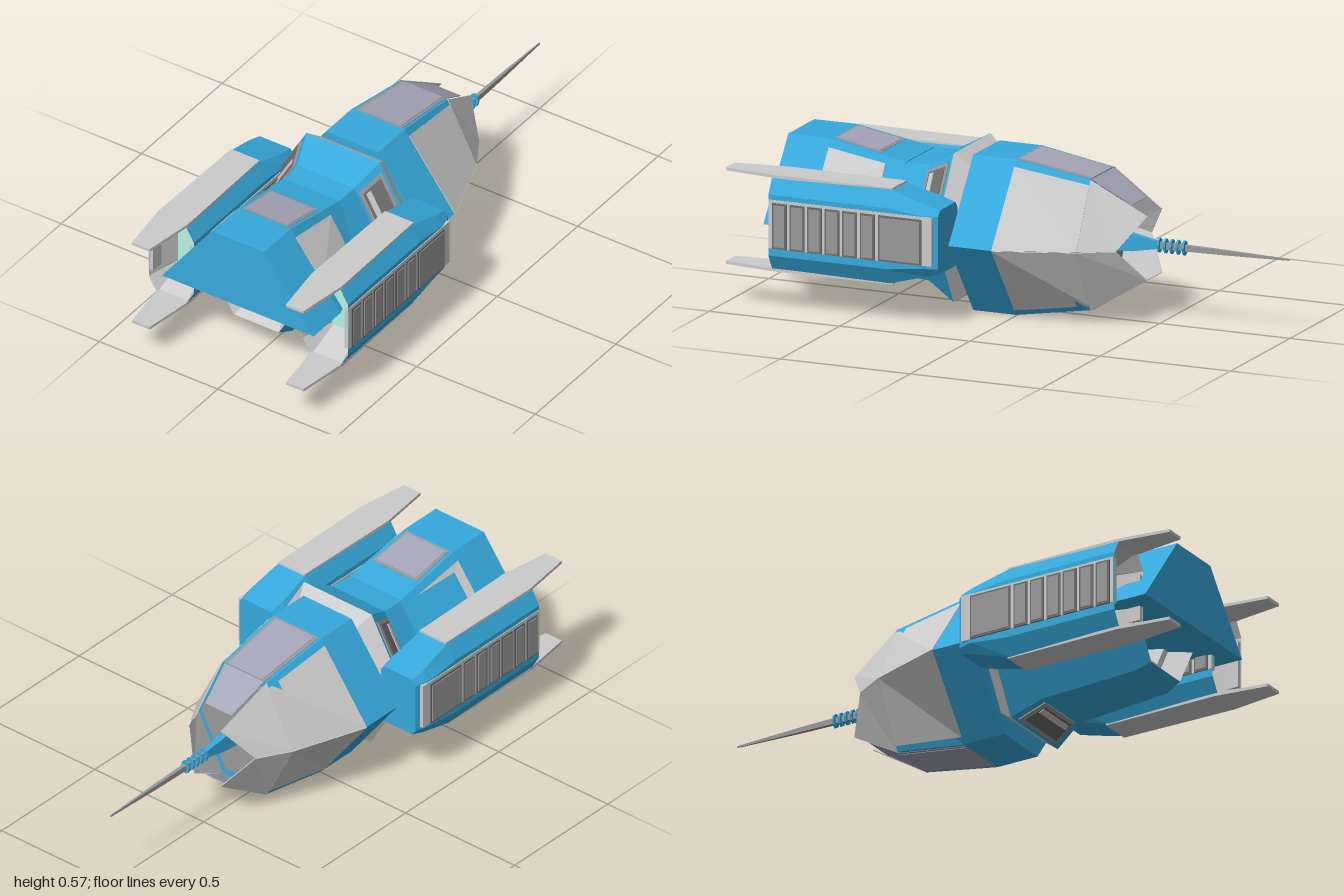
import * as THREE from 'three';

const paint = (color, side = THREE.FrontSide) =>
  new THREE.MeshStandardMaterial({ color, flatShading: true, side });
const BLUE = paint(0x36a9dc), GREY = paint(0xcccccc), MID = paint(0x999999), DARK = paint(0x6e6e6e);
const GLASS = paint(0xa5a5b8), MINT = paint(0xb5f5e5);
const SHELL = paint(0xcccccc, THREE.DoubleSide), PANE = paint(0xa5a5b8, THREE.DoubleSide);

// Skin a series of rings (counter-clockwise seen from the end the series runs towards)
function loft(name, rings, mat, capStart = true, capEnd = true) {
  const p = [], n = rings[0].length;
  const tri = (a, b, c) => p.push(...a, ...b, ...c);
  for (let r = 0; r + 1 < rings.length; r++) {
    const A = rings[r], B = rings[r + 1];
    for (let i = 0; i < n; i++) {
      const j = (i + 1) % n;
      tri(A[i], A[j], B[j]);
      tri(A[i], B[j], B[i]);
    }
  }
  const F = rings[0], L = rings[rings.length - 1];
  for (let i = 1; i + 1 < n; i++) {
    if (capStart) tri(F[0], F[i + 1], F[i]);
    if (capEnd) tri(L[0], L[i], L[i + 1]);
  }
  const g = new THREE.BufferGeometry();
  g.setAttribute('position', new THREE.Float32BufferAttribute(p, 3));
  g.computeVertexNormals();
  const m = new THREE.Mesh(g, mat);
  m.name = name;
  return m;
}

// Thin slab standing on a polygon, raised along its normal
function plate(name, pts, lift, mat) {
  const nrm = new THREE.Vector3();
  pts.forEach((a, i) => {
    const b = pts[(i + 1) % pts.length];
    nrm.add(new THREE.Vector3(...a).cross(new THREE.Vector3(...b)));
  });
  nrm.normalize().multiplyScalar(lift);
  return loft(name, [pts, pts.map(([x, y, z]) => [x + nrm.x, y + nrm.y, z + nrm.z])], mat);
}

// Mirror a polygon in x and y, keeping its winding
function mirror(pts, sx, sy) {
  const q = pts.map(([x, y, z]) => [x * sx, y * sy, z]);
  return sx * sy < 0 ? q.reverse() : q;
}

// Sub-rectangle of the quad a b c d
function inset([a, b, c, d], u0, u1, v0, v1) {
  const mix = (p, q, t) => p.map((v, i) => v + (q[i] - v) * t);
  const at = (u, v) => mix(mix(a, b, u), mix(d, c, u), v);
  return [at(u0, v0), at(u1, v0), at(u1, v1), at(u0, v1)];
}

const hexRing = (w, t, h, y, z) =>
  [[w, y, z], [t, y + h, z], [-t, y + h, z], [-w, y, z], [-t, y - h, z], [t, y - h, z]];
const hex = (R, z) => hexRing(R, R / 2, R * 0.866, 0.306, z);
const oct = (w, h, cx, cy, z) => [[w, -h + cy, z], [w, h - cy, z], [w - cx, h, z], [-w + cx, h, z],
  [-w, h - cy, z], [-w, -h + cy, z], [-w + cx, -h, z], [w - cx, -h, z]];
const rect = (w, h, z) => [[w, -h, z], [w, h, z], [-w, h, z], [-w, -h, z]];

function box(name, w, h, d, x, y, z, mat) {
  const m = new THREE.Mesh(new THREE.BoxGeometry(w, h, d), mat);
  m.position.set(x, y, z);
  m.name = name;
  return m;
}

// Pointed hexagonal cabin with windows, four nose jaws and a lance
function cabin() {
  const g = new THREE.Group();
  g.name = 'cabin';
  g.position.y = 0.285;
  g.add(loft('cabinHull', [hexRing(0.22, 0.1, 0.235, 0, -0.28), hexRing(0.32, 0.11, 0.28, 0, 0),
    hexRing(0.32, 0.11, 0.28, 0, 0.165)], BLUE));
  g.add(loft('noseBulkhead', [hexRing(0.19, 0.08, 0.2, 0, -0.29), hexRing(0.2, 0.09, 0.21, 0, -0.279)], MID));
  for (const sy of [1, -1]) {
    const top = [[-0.1, 0.28, 0], [0.1, 0.28, 0], [0.09, 0.235, -0.28], [-0.09, 0.235, -0.28]];
    g.add(plate('windowFrame', mirror(top, 1, sy), 0.002, MID));
    g.add(plate('window', mirror(inset(top, 0.06, 0.94, 0.03, 1), 1, sy), 0.004, GLASS));
    g.add(plate('noseWindow', mirror([[-0.09, 0.233, -0.28], [0.09, 0.233, -0.28],
      [0.06, 0.148, -0.42], [-0.06, 0.148, -0.42]], 1, sy), 0.003, PANE));
    for (const sx of [1, -1]) {
      const side = [[0.11, 0.28, 0], [0.32, 0, 0], [0.22, 0, -0.28], [0.1, 0.235, -0.28]];
      g.add(plate('sideArmour', mirror(inset(side, 0.08, 1, 0, 1), sx, sy), 0.003, GREY));
      g.add(plate('noseJaw', mirror([[0.1, 0.235, -0.28], [0.22, 0, -0.28],
        [0.15, 0, -0.4], [0.06, 0.115, -0.48]], sx, sy), 0.003, SHELL));
    }
  }
  // lance and its cooling rings
  g.add(loft('lanceRoot', [rect(0.008, 0.012, -0.5), rect(0.014, 0.03, -0.4), rect(0.02, 0.035, -0.28)], BLUE));
  g.add(loft('lance', [rect(0.002, 0.003, -1), rect(0.006, 0.009, -0.75), rect(0.008, 0.013, -0.48)], MID));
  for (let i = 0; i < 5; i++) {
    const ring = new THREE.Mesh(new THREE.CylinderGeometry(0.027, 0.027, 0.008, 8), BLUE);
    ring.rotation.x = Math.PI / 2;
    ring.scale.x = 0.68;
    ring.position.z = -0.5 - i * 0.024;
    ring.name = 'lanceRing';
    g.add(ring);
  }
  return g;
}

// Hexagonal engine body with collar, vents, nozzle and rear cowl
function body() {
  const g = new THREE.Group();
  g.name = 'engineBody';
  const wide = hex(0.31, 0.22), waist = hex(0.242, 0.33), rear = hex(0.19, 0.76);
  g.add(loft('collar', [hex(0.26, 0.16), wide], GREY, true, false));
  g.add(loft('bodyHull', [wide, waist, hex(0.218, 0.7), rear], BLUE, false, false));
  g.add(loft('nozzle', [rear, hex(0.14, 0.69), hex(0.112, 0.69), hex(0.082, 0.63)], GREY, false, false));
  g.add(loft('nozzleGlow', [hex(0.084, 0.62), hex(0.084, 0.635)], MINT));
  for (const k of [0, 2, 4]) {
    const j = (k + 1) % 6, face = [wide[k], wide[j], waist[j], waist[k]];
    g.add(plate('ventFrame', inset(face, 0.1, 0.9, 0.1, 0.95), 0.005, MID));
    g.add(plate('vent', inset(face, 0.15, 0.85, 0.2, 0.85), 0.008, DARK));
    g.add(plate('ventLip', inset(face, 0.18, 0.82, 0.62, 0.78), 0.011, GREY));
  }
  // cowl roofing over the nozzle
  const trap = (w, t, h, z) => [[w, 0.287, z], [t, h, z], [-t, h, z], [-w, 0.287, z]];
  const a = trap(0.24, 0.118, 0.513, 0.42), b = trap(0.32, 0.11, 0.565, 0.71);
  g.add(loft('rearCowl', [a, b, trap(0.32, 0.11, 0.565, 0.875)], BLUE));
  const roof = [b[2], b[1], a[1], a[2]];
  g.add(plate('roofPanelFrame', inset(roof, 0.06, 0.94, 0.02, 0.64), 0.002, MID));
  g.add(plate('roofPanel', inset(roof, 0.1, 0.9, 0.05, 0.61), 0.004, GLASS));
  for (const sx of [1, -1])
    g.add(plate('cowlSidePanel', mirror(inset([b[0], a[0], a[1], b[1]], 0, 0.75, 0.35, 0.9), sx, 1), 0.003, GREY));
  return g;
}

// Side engine pod with louvres and long tail fins
function pod(x) {
  const g = new THREE.Group();
  g.name = x > 0 ? 'leftPod' : 'rightPod';
  g.position.set(x, 0.315, 0);
  const end = oct(0.095, 0.17, 0.035, 0.06, 0.81);
  g.add(loft('podHull', [oct(0.08, 0.115, 0.015, 0.02, 0.165), oct(0.095, 0.13, 0.025, 0.035, 0.22),
    oct(0.095, 0.17, 0.035, 0.06, 0.36), end], BLUE, true, false));
  g.add(loft('podNozzle', [end, oct(0.055, 0.108, 0.004, 0.004, 0.68)], GREY, false, false));
  g.add(loft('podGlow', [oct(0.057, 0.11, 0.004, 0.004, 0.67), oct(0.057, 0.11, 0.004, 0.004, 0.684)], MINT));
  for (const s of [1, -1]) {
    g.add(box('louvrePanel', 0.02, 0.175, 0.625, s * 0.088, 0.005, 0.495, GREY));
    const slat = (z, d) => {
      g.add(box('louvreFrame', 0.02, 0.165, d, s * 0.092, 0, z, DARK));
      g.add(box('louvre', 0.02, 0.15, d - 0.014, s * 0.095, 0, z, MID));
    };
    slat(0.303, 0.165);
    for (let i = 0; i < 6; i++) slat(0.428 + i * 0.0675, 0.056);
    const fin = [[-0.037, 0.163, 1], [0.037, 0.163, 1], [0.065, 0.163, 0.8], [0.06, 0.163, 0.35],
      [-0.06, 0.163, 0.35], [-0.065, 0.163, 0.8]];
    g.add(plate('tailFin', mirror(fin, 1, s), 0.011, GREY));
  }
  return g;
}

export function createModel() {
  const model = new THREE.Group();
  model.name = 'spacecraft';
  model.add(cabin(), body(), pod(0.325), pod(-0.325));
  return model;
}
